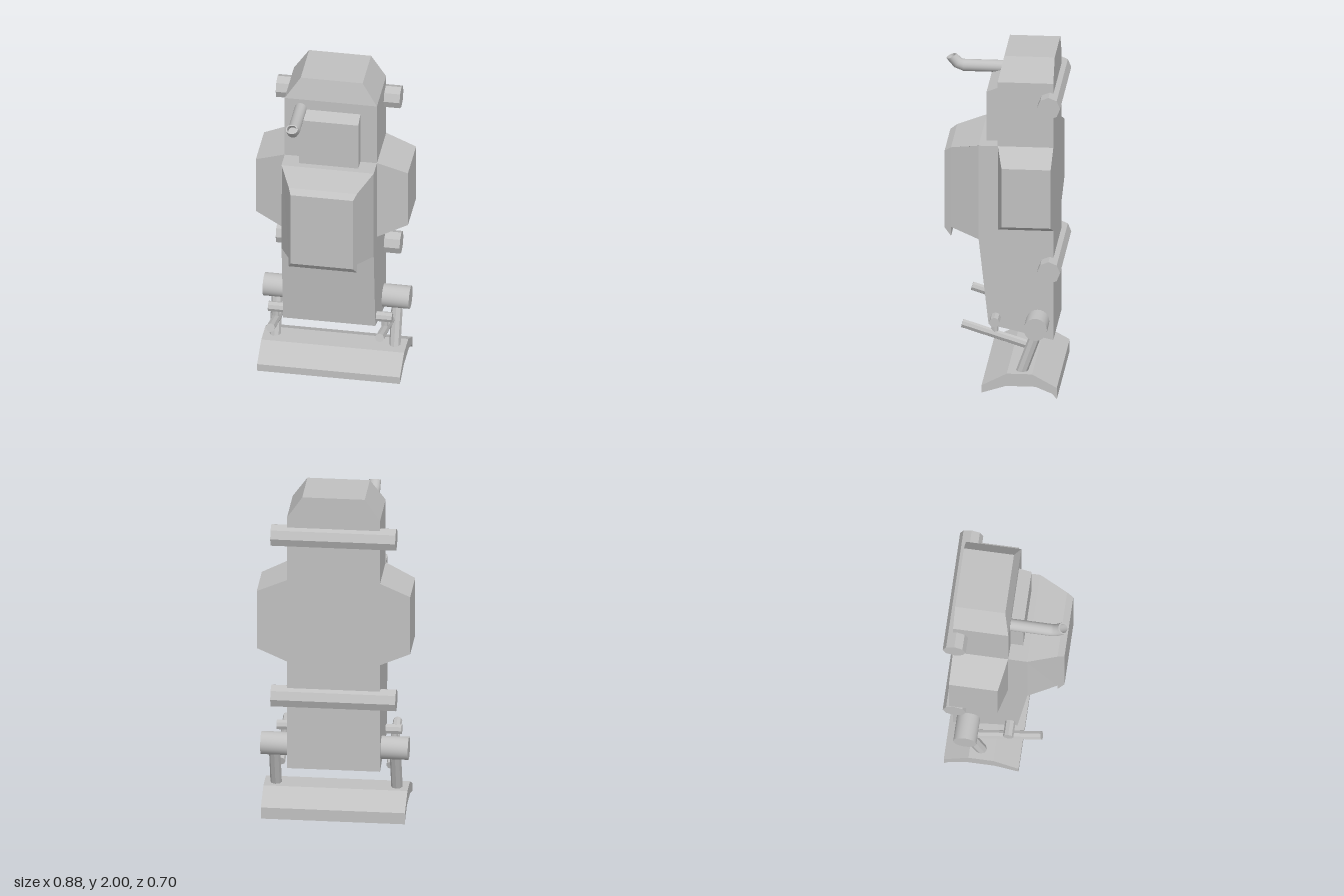
import * as THREE from 'three';
import { toCreasedNormals } from 'three/addons/utils/BufferGeometryUtils.js';

const grey = new THREE.MeshStandardMaterial({ color: 0xc0c0c0 });
grey.name = 'light grey';

// Skin a list of equal-sized rings, closing both ends
function loft(rings, crease = 0.02) {
  const n = rings[0].length, index = [];
  for (let i = 0; i < rings.length - 1; i++) {
    for (let j = 0; j < n; j++) {
      const a = i * n + j, b = i * n + (j + 1) % n;
      index.push(a, b, b + n, a, b + n, a + n);
    }
  }
  const last = (rings.length - 1) * n;
  for (let j = 1; j < n - 1; j++) {
    index.push(0, j + 1, j, last, last + j, last + j + 1);
  }
  const g = new THREE.BufferGeometry();
  g.setAttribute('position', new THREE.Float32BufferAttribute(rings.flat(2), 3));
  g.setIndex(index);
  return toCreasedNormals(g, crease);
}

// Rectangle lying across y; front and back edges may sit at different heights
const level = (w, zFront, yFront, zBack = -0.305, yBack = yFront) => [
  [w, yFront, zFront], [w, yBack, zBack], [-w, yBack, zBack], [-w, yFront, zFront],
];

// Side profile given as [z, y], extruded across x
function profile(points, halfWidth) {
  const shape = new THREE.Shape(points.map(([z, y]) => new THREE.Vector2(z, y)));
  const g = new THREE.ExtrudeGeometry(shape, { depth: halfWidth * 2, bevelEnabled: false });
  return g.translate(0, 0, -halfWidth).rotateY(-Math.PI / 2);
}

// Cylinder between two points
function rod(a, b, r, sides = 8) {
  const p = new THREE.Vector3(...a), q = new THREE.Vector3(...b);
  const dir = q.clone().sub(p);
  const g = new THREE.CylinderGeometry(r, r, dir.length(), sides);
  g.applyQuaternion(new THREE.Quaternion().setFromUnitVectors(new THREE.Vector3(0, 1, 0), dir.normalize()));
  const mid = p.add(q).multiplyScalar(0.5);
  g.translate(mid.x, mid.y, mid.z);
  return toCreasedNormals(g, sides > 8 ? 0.6 : 0.1);
}

export function createModel() {
  const model = new THREE.Group();
  model.name = 'backpack';
  const add = (name, geometry) => {
    const mesh = new THREE.Mesh(geometry, grey);
    mesh.name = name;
    model.add(mesh);
  };

  // Torso with a shallow recess in its sloping underside
  add('torso', loft([
    level(0.235, 0.045, 0.42, -0.275, 0.347),
    level(0.235, 0.045, 0.39, -0.275, 0.317),
    level(0.268, 0.068, 0.395, -0.305, 0.31),
    level(0.268, 0.125, 0.91),
    level(0.268, 0.125, 1.48),
  ]));

  // Upper block with tapered top
  add('head', loft([
    level(0.268, 0.015, 1.48),
    level(0.268, 0.015, 1.87),
    level(0.18, -0.015, 2.0),
  ]));

  // Raised plate on the upper block
  add('facePanel', profile([[0, 1.47], [0.088, 1.47], [0.088, 1.775], [0.015, 1.805], [0, 1.805]], 0.172));

  // Chest narrowing toward the front, with a lip along its lower edge
  const chest = profile([
    [0.12, 1.48], [0.125, 0.91], [0.29, 0.955], [0.29, 0.9],
    [0.328, 0.945], [0.328, 1.415], [0.29, 1.44], [0.125, 1.48],
  ], 1);
  const pos = chest.attributes.position;
  for (let i = 0; i < pos.count; i++) {
    const t = Math.max(0, (pos.getZ(i) - 0.125) / 0.203);
    pos.setX(i, pos.getX(i) * (0.268 - 0.086 * t));
  }
  chest.computeVertexNormals();
  add('chest', chest);

  // Parts on both sides
  for (const s of [1, -1]) {
    const side = s > 0 ? 'left' : 'right';
    const face = (x, y0, y1, z) => {
      const ring = [[s * x, y0, z], [s * x, y0, -0.305], [s * x, y1, -0.305], [s * x, y1, z]];
      return s > 0 ? ring : ring.reverse();
    };
    add(side + 'Pod', loft([face(0.26, 0.97, 1.484, 0.016), face(0.442, 1.05, 1.405, -0.022)]));
    add(side + 'Hub', rod([s * 0.26, 0.425, -0.215], [s * 0.425, 0.425, -0.215], 0.067, 24));
    add(side + 'Strut', rod([s * 0.348, 0.4, -0.222], [s * 0.348, 0.13, -0.125], 0.033));
    add(side + 'Handle', rod([s * 0.317, 0.295, -0.17], [s * 0.317, 0.415, 0.215], 0.026));
    add(side + 'HandlePeg', rod([s * 0.26, 0.438, 0.027], [s * 0.36, 0.438, 0.027], 0.03));
    add(side + 'HandlePost', rod([s * 0.317, 0.35, 0.027], [s * 0.317, 0.43, 0.027], 0.02));
  }

  // Horizontal bars across the back
  for (const [name, y] of [['upperBar', 1.75], ['lowerBar', 0.75]]) {
    add(name, rod([-0.36, y, -0.285], [0.36, y, -0.285], 0.067));
  }

  // Bent foot plate
  add('footPlate', profile([
    [0.095, 0.03], [0.095, 0.075], [-0.05, 0.15], [-0.195, 0.15], [-0.338, 0.072],
    [-0.338, 0.003], [-0.312, 0.035], [-0.215, 0.075], [-0.045, 0.075],
  ], 0.415));

  // Hollow bent pipe: each ring spans a low and a high point [z, y]
  const pipeRing = ([z0, y0, z1, y1], scale = 1) => Array.from({ length: 16 }, (_, i) => {
    const a = i / 16 * Math.PI * 2, c = Math.cos(a) * scale / 2;
    return [-0.175 + Math.sin(a) * 0.035 * scale, (y0 + y1) / 2 + (y1 - y0) * c, (z0 + z1) / 2 + (z1 - z0) * c];
  }).reverse();
  const bend = [0.305, 1.797, 0.262, 1.848], tip = [0.35, 1.85, 0.292, 1.877];
  add('pipe', loft([
    pipeRing([0, 1.775, 0, 1.845]),
    pipeRing([0.25, 1.775, 0.25, 1.845]),
    pipeRing(bend),
    pipeRing(tip),
    pipeRing(tip, 0.78),
    pipeRing(bend, 0.78),
  ], 0.8));

  return model;
}
